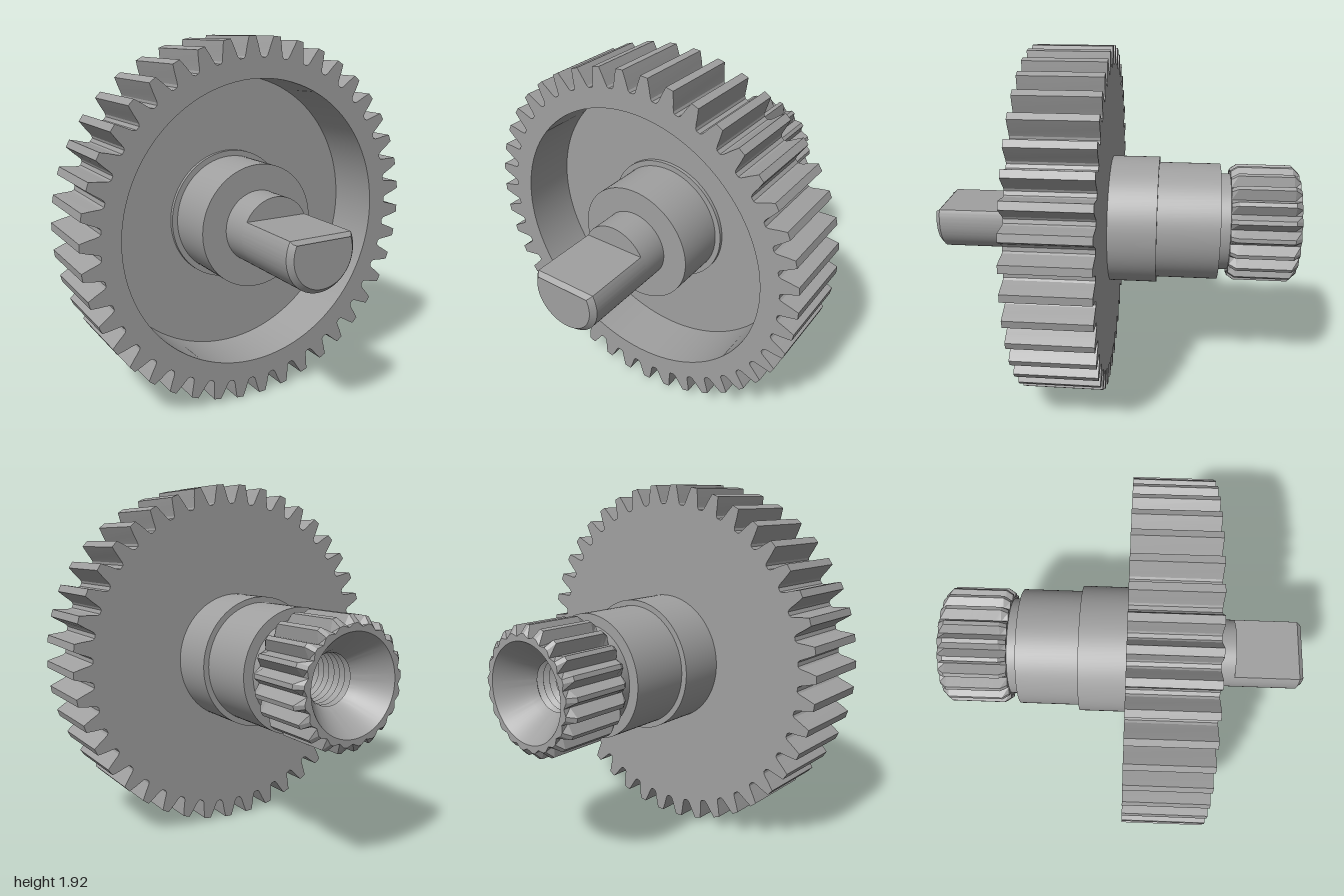
import * as THREE from 'three';
import { toCreasedNormals } from 'three/addons/utils/BufferGeometryUtils.js';

const SEGMENTS = 96;

// Revolve [radius, z] points around the z axis
function revolve(points) {
  const geo = new THREE.LatheGeometry(points.map(([r, z]) => new THREE.Vector2(r, z)), SEGMENTS);
  geo.rotateX(Math.PI / 2);
  return toCreasedNormals(geo, 0.4);
}

// Toothed outline: tooth is a list of [fraction of pitch, radius] across one tooth
function toothedShape(count, phase, tooth, holeRadius) {
  const pitch = (Math.PI * 2) / count;
  const pts = [];
  for (let i = 0; i < count; i++) {
    for (const [f, r] of tooth) {
      const a = phase + (i + f) * pitch;
      pts.push(new THREE.Vector2(Math.cos(a) * r, Math.sin(a) * r));
    }
  }
  const shape = new THREE.Shape(pts);
  const hole = new THREE.Path();
  hole.absarc(0, 0, holeRadius, 0, Math.PI * 2, true);
  shape.holes.push(hole);
  return shape;
}

export function createModel() {
  const group = new THREE.Group();
  const metal = new THREE.MeshStandardMaterial({ color: 0xa0a0a0 });
  metal.name = 'grey metal';

  const axle = new THREE.Group();
  axle.name = 'gearAssembly';
  axle.position.y = 0.963;
  group.add(axle);
  const add = (name, geo) => {
    const mesh = new THREE.Mesh(geo, metal);
    mesh.name = name;
    axle.add(mesh);
  };

  // Large toothed rim
  const half = [[0.14, 0.96], [0.24, 0.915], [0.3, 0.885], [0.35, 0.866], [0.42, 0.857]];
  const gearTooth = [...half.map(([f, r]) => [-f, r]).reverse(), ...half];
  const rim = new THREE.ExtrudeGeometry(
    toothedShape(42, THREE.MathUtils.degToRad(92.8), gearTooth, 0.754),
    { depth: 0.43, bevelEnabled: false, curveSegments: SEGMENTS / 2 });
  rim.translate(0, 0, 0.02);
  add('gearRim', toCreasedNormals(rim, 0.4));

  // Threaded hole, countersink, stepped rear hub and rear face of the web
  const rear = [[0, -0.3], [0.13, -0.3]];
  for (let z = -0.32; z > -0.83; z -= 0.04) rear.push([0.155, z], [0.13, z - 0.02]);
  rear.push([0.15, -0.86], [0.25, -1]);
  add('threadedBore', revolve(rear));
  add('rearHub', revolve([
    [0.25, -0.63], [0.27, -0.63], [0.27, -0.575], [0.325, -0.575], [0.325, -0.24],
    [0.355, -0.24], [0.355, 0.02], [0.754, 0.02],
  ]));

  // Recess floor, front hub and round part of the shaft
  add('frontHub', revolve([
    [0.754, 0.15], [0.355, 0.15], [0.355, 0.17], [0.325, 0.17], [0.325, 0.45],
    [0.19, 0.45], [0.19, 0.615], [0, 0.615],
  ]));

  // Splined end with both ends chamfered
  const splineTooth = [[-0.5, 0.272], [-0.12, 0.325], [0.12, 0.325]];
  const spline = new THREE.ExtrudeGeometry(
    toothedShape(21, Math.PI / 2, splineTooth, 0.25),
    { depth: 0.37, steps: 10, bevelEnabled: false, curveSegments: SEGMENTS / 2 });
  spline.translate(0, 0, -1);
  const pos = spline.attributes.position;
  for (let i = 0; i < pos.count; i++) {
    const z = pos.getZ(i);
    const limit = z < -0.99 ? 0.288 : z > -0.64 ? 0.3 : 1;
    const r = Math.hypot(pos.getX(i), pos.getY(i));
    if (r > limit) pos.setXY(i, pos.getX(i) * limit / r, pos.getY(i) * limit / r);
  }
  add('spline', toCreasedNormals(spline, 0.3));

  // Flat-sided shaft tip with a chamfered end
  const cut = Math.asin(0.082 / 0.19);
  const dShape = new THREE.Shape();
  dShape.absarc(0, 0, 0.19, Math.PI - cut, Math.PI * 2 + cut, false);
  dShape.closePath();
  const tip = new THREE.ExtrudeGeometry(dShape, {
    depth: 0.375, bevelEnabled: true, bevelSegments: 1, bevelSize: 0.025,
    bevelThickness: 0.025, bevelOffset: -0.025, curveSegments: 48,
  });
  tip.translate(0, 0, 0.6);
  add('shaftTip', toCreasedNormals(tip, 0.4));

  return group;
}
